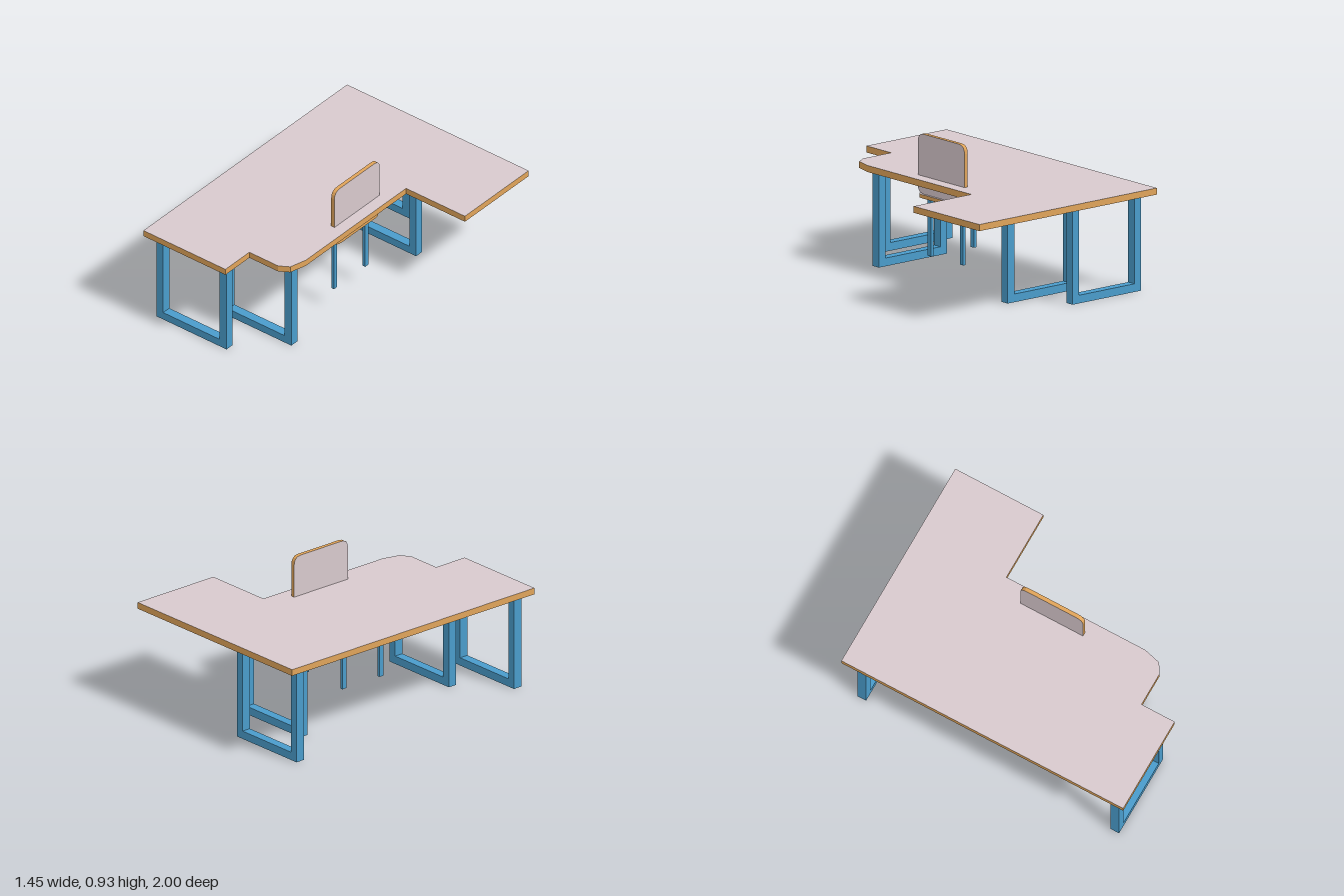
import * as THREE from 'three';

const panelMat = new THREE.MeshStandardMaterial({ color: 0xd8c9cd });
const edgeMat = new THREE.MeshStandardMaterial({ color: 0xe0a45a });
const frameMat = new THREE.MeshStandardMaterial({ color: 0x4a9ccb });

// Board with pale faces and a wooden edge band, extruded along z
function board(shape, thickness, name) {
  const geo = new THREE.ExtrudeGeometry(shape, { depth: thickness, bevelEnabled: false, curveSegments: 4 });
  const mesh = new THREE.Mesh(geo, [panelMat, edgeMat]);
  mesh.name = name;
  return mesh;
}

function roundedRect(x0, y0, x1, y1, r) {
  const s = new THREE.Shape();
  s.moveTo(x0 + r, y0);
  s.lineTo(x1 - r, y0);
  s.quadraticCurveTo(x1, y0, x1, y0 + r);
  s.lineTo(x1, y1 - r);
  s.quadraticCurveTo(x1, y1, x1 - r, y1);
  s.lineTo(x0 + r, y1);
  s.quadraticCurveTo(x0, y1, x0, y1 - r);
  s.lineTo(x0, y0 + r);
  s.quadraticCurveTo(x0, y0, x0 + r, y0);
  return s;
}

// Box given by its two extreme corners
function bar(x0, x1, y0, y1, z0, z1, name) {
  const mesh = new THREE.Mesh(new THREE.BoxGeometry(x1 - x0, y1 - y0, z1 - z0), frameMat);
  mesh.position.set((x0 + x1) / 2, (y0 + y1) / 2, (z0 + z1) / 2);
  mesh.name = name;
  return mesh;
}

// U-shaped leg frame: two posts joined by a floor rail
function legFrame(x0, x1, z) {
  const t = 0.054, h = 0.03;
  const g = new THREE.Group();
  g.name = 'legFrame';
  g.add(
    bar(x0, x0 + t, 0, 0.62, z - h, z + h, 'post'),
    bar(x1 - t, x1, 0, 0.62, z - h, z + h, 'post'),
    bar(x0 + t, x1 - t, 0, 0.052, z - h, z + h, 'floorRail'),
  );
  return g;
}

export function createModel() {
  const model = new THREE.Group();
  model.name = 'deskWithChair';

  // Stepped L-shaped desk top, outline as x and z
  const outline = [
    [-0.725, -1], [0.725, -1], [0.725, -0.375], [0.255, -0.375], [0.255, 0.61],
    [0.225, 0.725], [0.16, 0.765], [-0.07, 0.765], [-0.07, 1], [-0.725, 1],
  ];
  const top = board(new THREE.Shape(outline.map(([x, z]) => new THREE.Vector2(x, -z))), 0.042, 'deskTop');
  top.rotation.x = -Math.PI / 2;
  top.position.y = 0.62;
  model.add(top);

  // Desk leg frames, the inner pair shifted under the wider part
  for (const z of [0.91, -0.885]) model.add(legFrame(-0.67, -0.11, z));
  for (const z of [0.625, -0.6]) model.add(legFrame(-0.382, 0.176, z));

  // Chair: seat, back panel and four slim legs
  const chair = new THREE.Group();
  chair.name = 'chair';
  const seat = board(roundedRect(-0.28, -0.228, 0.186, 0.216, 0.055), 0.024, 'seat');
  seat.rotation.x = -Math.PI / 2;
  seat.position.y = 0.523;
  const back = board(roundedRect(-0.228, 0.548, 0.216, 0.93, 0.055), 0.026, 'chairBack');
  back.rotation.y = Math.PI / 2;
  back.position.x = 0.147;
  chair.add(seat, back);
  for (const x of [-0.228, 0.122])
    for (const z of [0.166, -0.14])
      chair.add(bar(x - 0.01, x + 0.01, 0.147, 0.523, z - 0.016, z + 0.016, 'chairLeg'));
  model.add(chair);

  return model;
}
